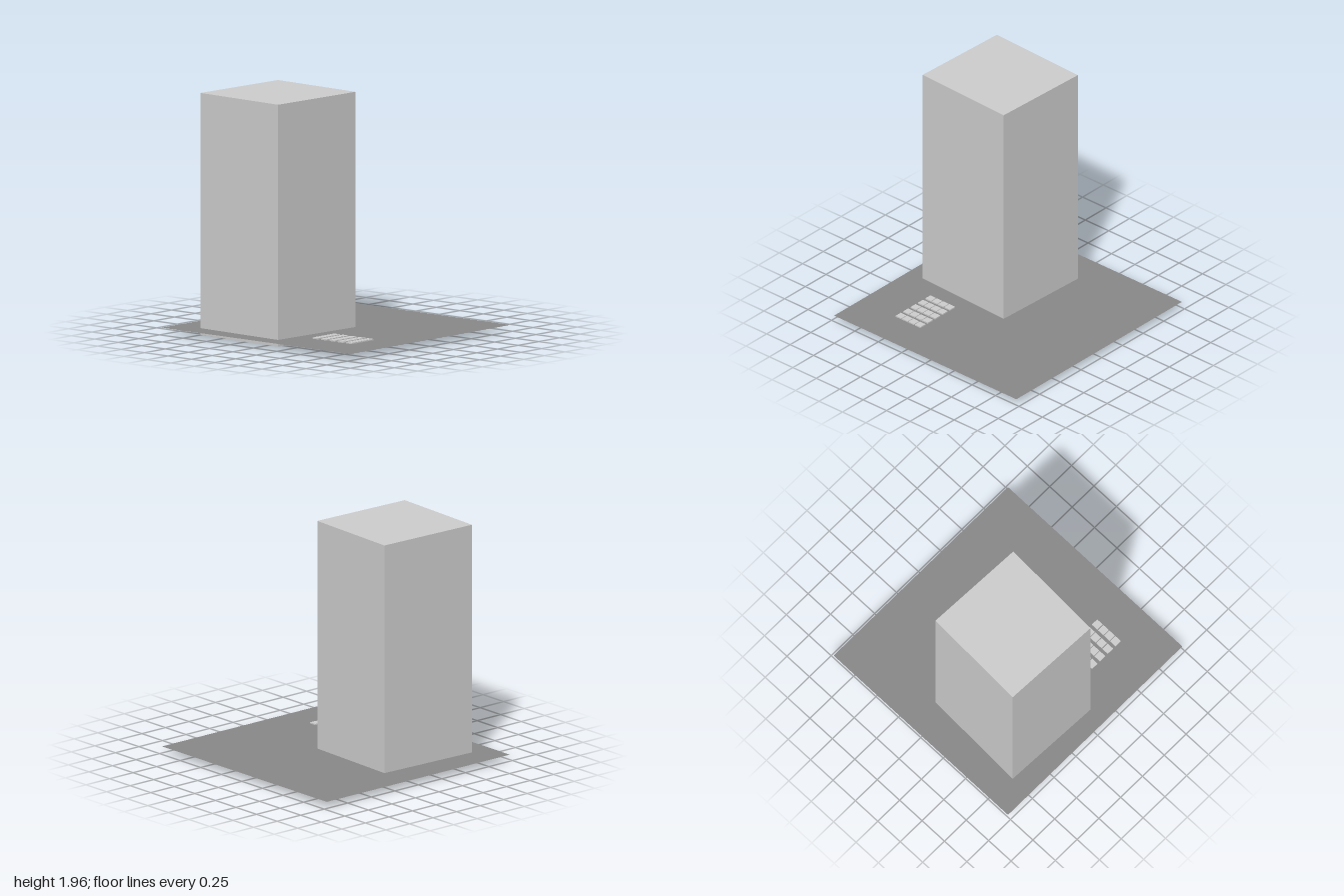
import * as THREE from 'three';

export function createModel() {
  const model = new THREE.Group();
  const grey = new THREE.MeshStandardMaterial({ color: 0xcccccc });
  const darkGrey = new THREE.MeshStandardMaterial({ color: 0x888888, side: THREE.DoubleSide });

  const add = (name, geometry, material, x, y, z, parent = model) => {
    const mesh = new THREE.Mesh(geometry, material);
    mesh.name = name;
    mesh.position.set(x, y, z);
    parent.add(mesh);
    return mesh;
  };

  // Thin ground sheet, cutting through the feet of the blocks
  add('groundPlane', new THREE.PlaneGeometry(1.945, 2).rotateX(-Math.PI / 2), darkGrey, 0, 0.055, 0);

  // Tall tower, turned slightly
  const tower = add('tower', new THREE.BoxGeometry(0.898, 1.96, 0.857), grey, -0.354, 0.98, -0.307);
  tower.rotation.y = -0.0415;

  // Four by five grid of small cubes
  const cubes = new THREE.Group();
  cubes.name = 'cubeGrid';
  model.add(cubes);
  const cube = new THREE.BoxGeometry(0.061, 0.061, 0.061);
  for (let row = 0; row < 5; row++) {
    for (let col = 0; col < 4; col++) {
      add('smallCube', cube, grey, -0.56 + col * 0.0677, 0.035, 0.3 + row * 0.0893, cubes);
    }
  }
  return model;
}
